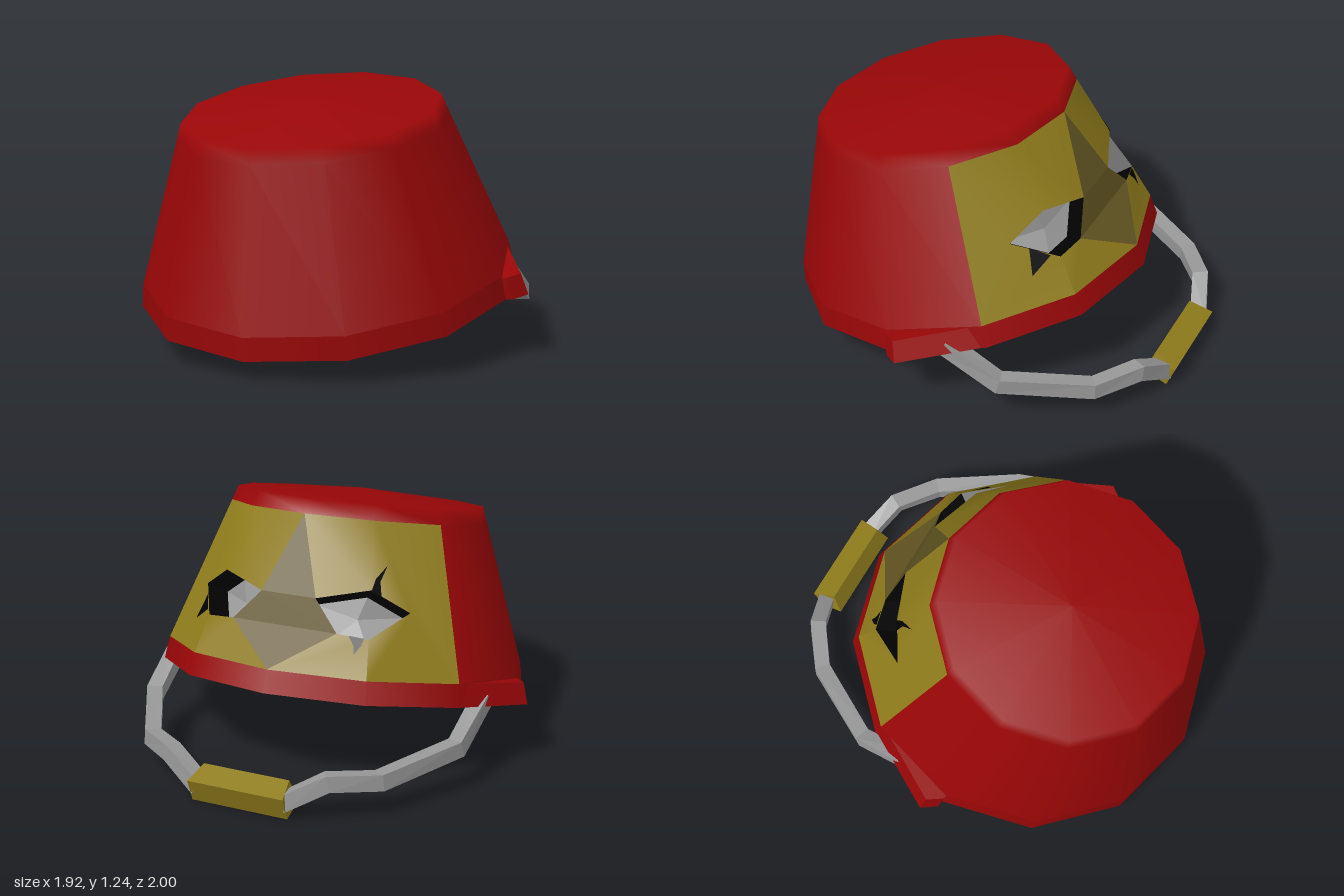
import * as THREE from 'three';
import { mergeVertices } from 'three/addons/utils/BufferGeometryUtils.js';

const mat = (name, color, side = THREE.FrontSide) => {
  const m = new THREE.MeshStandardMaterial({ color, side });
  m.name = name;
  return m;
};
const V = (x, y, z) => new THREE.Vector3(x, y, z);

// Bucket wall: lip, then a straight taper to the top rim
const LIP = 0.105, BAND = 0.79, TOP = 0.86;
const radius = (u) => (u < LIP ? 0.88 - 0.017 * (u / LIP) : 0.863 - (0.268 * (u - LIP)) / (TOP - LIP));

// Point on the twelve-sided wall: T counts sides from the middle of the face, u is the height
function wallPoint(T, u, lift = 0) {
  const i = Math.floor(T), t = T - i, r = radius(u) + lift;
  const a = (i * Math.PI) / 6, b = ((i + 1) * Math.PI) / 6;
  return V(-r * THREE.MathUtils.lerp(Math.sin(a), Math.sin(b), t), u, -r * THREE.MathUtils.lerp(Math.cos(a), Math.cos(b), t));
}

// Flat-shaded geometry from a list of corner points, three per triangle
function triangles(points) {
  const g = new THREE.BufferGeometry().setFromPoints(points);
  g.computeVertexNormals();
  return g;
}

// Polygons in (T, u) laid onto the wall
function patch(polygons, lift = 0) {
  const pts = [];
  for (const poly of polygons) {
    const g = new THREE.ShapeGeometry(new THREE.Shape(poly.map(([T, u]) => new THREE.Vector2(T, u)))).toNonIndexed();
    const p = g.attributes.position;
    const mid = poly.reduce((s, q) => s + q[0], 0) / poly.length;
    for (let i = 0; i < p.count; i++) {
      // stay on the side of the wall that the polygon lies on
      const T = p.getX(i);
      pts.push(wallPoint(T + (mid - T) * 1e-5, p.getY(i), lift));
    }
  }
  return triangles(pts);
}

// Square bar swept along a list of points
function bar(path, width, height, up) {
  const rings = path.map((p, i) => {
    const t = path[Math.min(i + 1, path.length - 1)].clone().sub(path[Math.max(i - 1, 0)]).normalize();
    const side = t.clone().cross(up).normalize().multiplyScalar(width / 2);
    const top = side.clone().cross(t).normalize().multiplyScalar(height / 2);
    return [[1, 1], [-1, 1], [-1, -1], [1, -1]].map(([a, b]) => p.clone().addScaledVector(side, a).addScaledVector(top, b));
  });
  const pts = [];
  for (let i = 0; i < rings.length - 1; i++) {
    for (let k = 0; k < 4; k++) {
      const n = (k + 1) % 4, a = rings[i], b = rings[i + 1];
      pts.push(a[k], b[n], a[n], a[k], b[k], b[n]);
    }
  }
  const s = rings[0], e = rings[rings.length - 1];
  pts.push(s[0], s[1], s[2], s[0], s[2], s[3], e[0], e[2], e[1], e[0], e[3], e[2]);
  return triangles(pts);
}

export function createModel() {
  const red = mat('red paint', 0x980607);
  const gold = mat('gold', 0x8f7c1c);
  const brown = mat('dark gold', 0x635622);
  const black = mat('black', 0x020202, THREE.DoubleSide);
  const grey = mat('grey metal', 0x979797);

  const model = new THREE.Group();
  model.name = 'bucket';
  const body = new THREE.Group();
  body.name = 'tiltedBody';
  body.position.set(0, 0.275, 0.14);
  body.rotation.x = 0.217;
  model.add(body);
  const add = (parent, name, geometry, material) => {
    const m = new THREE.Mesh(geometry, material);
    m.name = name;
    parent.add(m);
    return m;
  };

  // Red shell: lip, wall around the front, slightly raised top with its rim, and flat underside
  const lathe = (pts, segs = 12, start = 0, len = Math.PI * 2) =>
    new THREE.LatheGeometry(pts.map(([r, u]) => new THREE.Vector2(r, u)), segs, start, len);
  const ring = (u) => [radius(u), u];
  add(body, 'lip', lathe([ring(0), ring(LIP)]), red);
  add(body, 'wall', lathe([ring(LIP), ring(BAND)], 8, (-2 * Math.PI) / 3, (4 * Math.PI) / 3), red);
  add(body, 'top', lathe([ring(BAND), ring(TOP), [0, 0.9]]), red);
  add(body, 'underside', new THREE.CircleGeometry(0.88, 12).rotateX(Math.PI / 2), red);

  // Nose: facets cutting across the middle ridge of the face
  const rows = [[0, BAND], [0.36, 0.43], [0.65, 0.29], [0, LIP]];
  const [top, l1, l2, low] = rows.map(([T, u]) => wallPoint(-T, u));
  const [, r1, r2] = rows.map(([T, u]) => wallPoint(T, u));
  add(body, 'nose', triangles([top, l1, r1, l1, l2, r2, l1, r2, r1, l2, low, r2]), brown);

  const eye = [[0.36, 0.43], [0.65, 0.29], [1, 0.28], [1.49, 0.4], [1, 0.49]];
  for (const s of [1, -1]) {
    const flip = (poly) => poly.map(([T, u]) => [s * T, u]);
    const side = s > 0 ? 'right' : 'left';

    // Gold face panels around the eye opening
    const panels = patch([
      [[0, BAND], rows[1], [1, 0.49], [1, BAND]],
      [[0, LIP], [1, LIP], [1, 0.28], rows[2]],
      [[1, BAND], [1, 0.49], [1.49, 0.4], [1, 0.28], [1, LIP], [2, LIP], [2, BAND]],
    ].map(flip));
    panels.deleteAttribute('normal');
    const smooth = mergeVertices(panels, 1e-3);
    smooth.computeVertexNormals();
    add(body, side + 'FacePanel', smooth, gold);

    // Recessed eye: dark socket walls and a pale back
    const outline = flip(eye);
    if (s < 0) outline.reverse();
    const outer = outline.map(([T, u]) => wallPoint(T, u));
    const inward = V(s * 0.46, -0.33, 0.82).normalize().multiplyScalar(0.11);
    const centre = outer.reduce((c, p) => c.add(p), V(0, 0, 0)).divideScalar(outer.length);
    const inner = outer.map((p) => p.clone().lerp(centre, 0.08).add(inward));
    const walls = [], back = [];
    const hub = centre.clone().add(inward);
    outer.forEach((p, i) => {
      const n = (i + 1) % outer.length;
      walls.push(p, outer[n], inner[i], outer[n], inner[n], inner[i]);
      back.push(hub, inner[i], inner[n]);
    });
    add(body, side + 'EyeSocket', triangles(walls), black);
    add(body, side + 'Eye', triangles(back), grey);

    // Side lugs where the handle is fixed, narrower at the top
    const lug = new THREE.Shape([[0.75, -0.45], [0.96, -0.07], [0.91, 0], [0.8, 0.02]].map(([x, z]) => new THREE.Vector2(-s * x, -z)));
    const lugGeo = new THREE.ExtrudeGeometry(lug, { depth: 0.1, bevelEnabled: false }).rotateX(-Math.PI / 2);
    const p = lugGeo.attributes.position;
    for (let i = 0; i < p.count; i++) if (p.getY(i) > 0.05) p.setX(i, p.getX(i) + s * 0.03);
    lugGeo.computeVertexNormals();
    add(body, side + 'Lug', lugGeo, red);
  }

  // Curled marks at the eyes, different on each side
  add(body, 'rightEyeMarks', patch([
    [[1.001, 0.485], [1.13, 0.465], [1.11, 0.53], [1.2, 0.6], [1.05, 0.54]],
    [[0.78, 0.288], [0.95, 0.283], [0.92, 0.25], [0.85, 0.21], [0.84, 0.25]],
  ], 0.004), black);
  add(body, 'leftEyeMarks', patch([[[-1.1, 0.3], [-1.36, 0.24], [-1.3, 0.36]]], 0.004), black);

  // Wire handle, mirrored
  const half = [V(0.8, 0.35, -0.1), V(0.78, 0.21, -0.36), V(0.57, 0.16, -0.73), V(0.385, 0.175, -0.87), V(0.2, 0.07, -0.94)];
  for (const s of [1, -1]) {
    const path = half.map((q) => V(q.x * s, q.y, q.z));
    add(model, s > 0 ? 'leftHandle' : 'rightHandle', bar(path, 0.075, 0.075, V(0, 1, 0.1)), grey);
  }

  // Grip, a little shorter along its upper front edge
  const gripGeo = new THREE.BoxGeometry(0.47, 0.115, 0.12).toNonIndexed();
  const gp = gripGeo.attributes.position;
  for (let i = 0; i < gp.count; i++) if (gp.getY(i) > 0 && gp.getZ(i) > 0) gp.setX(i, gp.getX(i) * 0.9);
  gripGeo.computeVertexNormals();
  const grip = add(model, 'grip', gripGeo, gold);
  grip.position.set(0, 0.08, -0.92);
  grip.rotation.x = -0.37;
  return model;
}
